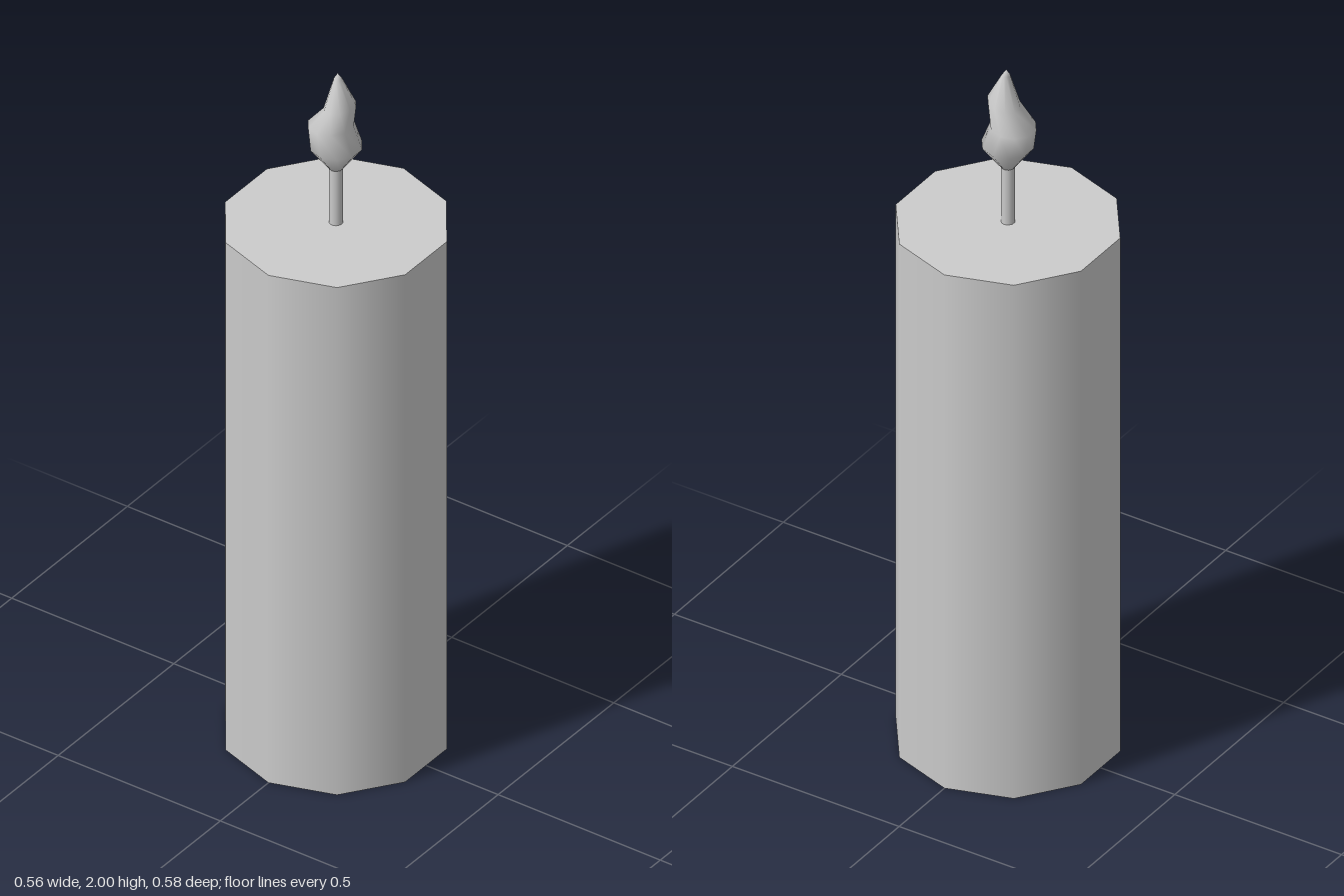
import * as THREE from 'three';
import { mergeVertices } from 'three/addons/utils/BufferGeometryUtils.js';

const SIDES = 10;
const material = new THREE.MeshStandardMaterial({ color: 0xcccccc });

// Upright ten-sided cylinder spanning bottom..top
function post(name, radius, bottom, top) {
  const mesh = new THREE.Mesh(new THREE.CylinderGeometry(radius, radius, top - bottom, SIDES), material);
  mesh.name = name;
  mesh.position.y = (bottom + top) / 2;
  return mesh;
}

// Lathed teardrop whose rings are shifted and tilted sideways to make it flicker
function flame() {
  // each ring: radius, height, sideways shift, rise from centre to right edge
  const rings = [
    [0, 1.708, 0, 0],
    [0.018, 1.71, 0, 0],
    [0.068, 1.777, 0.001, 0.002],
    [0.06, 1.838, -0.016, 0.003],
    [0.043, 1.9, 0.012, 0.012],
    [0.011, 1.983, 0.006, 0],
    [0, 2.0, 0.005, 0],
  ];
  const profile = rings.map(([r, y]) => new THREE.Vector2(r, y));
  let geometry = new THREE.LatheGeometry(profile, SIDES);
  const pos = geometry.attributes.position;
  for (let i = 0; i < pos.count; i++) {
    const [r, y, shift, rise] = rings[i % rings.length];
    const x = pos.getX(i);
    pos.setX(i, x + shift);
    pos.setY(i, y + (r > 0 ? (x / r) * rise : 0));
  }
  // weld the seam and poles for smooth shading
  geometry.deleteAttribute('uv');
  geometry.deleteAttribute('normal');
  geometry = mergeVertices(geometry, 1e-4);
  geometry.computeVertexNormals();
  const mesh = new THREE.Mesh(geometry, material);
  mesh.name = 'flame';
  return mesh;
}

export function createModel() {
  const candle = new THREE.Group();
  candle.name = 'candle';
  candle.add(
    post('waxBody', 0.292, 0, 1.545),
    post('wick', 0.018, 1.545, 1.715),
    flame(),
  );
  return candle;
}
